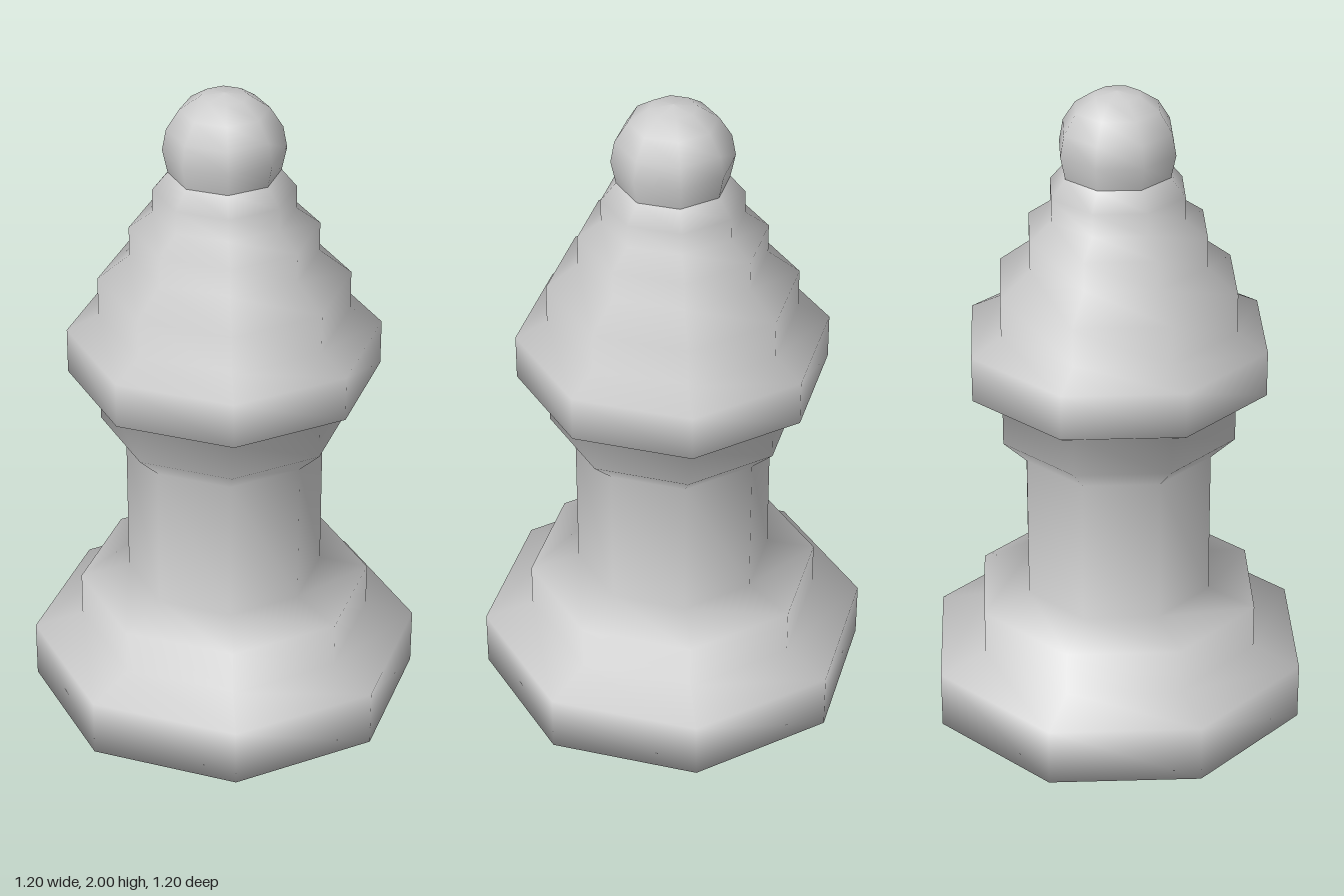
import * as THREE from 'three';

const SIDES = 8;

// Eight-sided turned part with smooth normals, from [radius, height] pairs
function turned(name, profile, material) {
  const points = profile.map(([r, y]) => new THREE.Vector2(r, y));
  const mesh = new THREE.Mesh(new THREE.LatheGeometry(points, SIDES), material);
  mesh.name = name;
  return mesh;
}

export function createModel() {
  const group = new THREE.Group();
  group.name = 'chessPiece';
  const material = new THREE.MeshStandardMaterial({ color: 0xcccccc });

  const body = [
    // stepped base
    [0, 0], [0.6, 0], [0.6, 0.18], [0.45, 0.225], [0.45, 0.365],
    // column
    [0.3, 0.405], [0.3, 0.865],
    // collar
    [0.375, 0.94], [0.375, 1.055], [0.47, 1.105], [0.47, 1.245],
    // tapering tiers
    [0.375, 1.295], [0.375, 1.415], [0.28, 1.49], [0.28, 1.58],
    [0.21, 1.63], [0.21, 1.7], [0.165, 1.755],
  ];
  group.add(turned('body', body, material));

  // Rounded knob on top
  const knob = [
    [0.165, 1.755], [0.18, 1.825], [0.168, 1.89],
    [0.13, 1.95], [0.07, 1.99], [0, 2],
  ];
  group.add(turned('knob', knob, material));

  return group;
}
